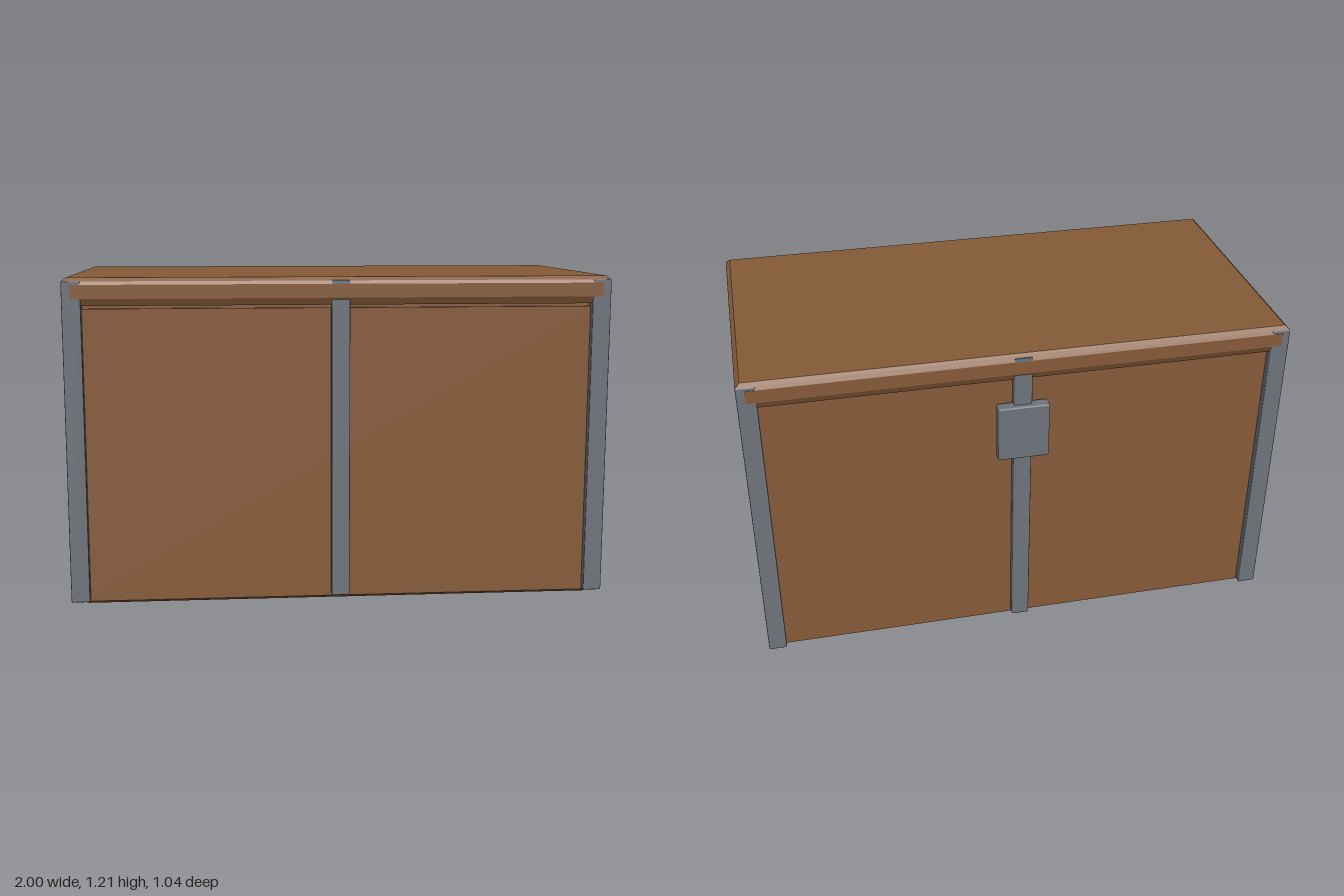
import * as THREE from 'three';
import { RoundedBoxGeometry } from 'three/addons/geometries/RoundedBoxGeometry.js';

const MID_Z = 0.01; // the chest body sits slightly forward of the latch

export function createModel() {
  const group = new THREE.Group();
  const wood = new THREE.MeshStandardMaterial({ color: 0x855a38 });
  wood.name = 'brown wood';
  const iron = new THREE.MeshStandardMaterial({ color: 0x6e737b });
  iron.name = 'grey iron';

  function add(name, geometry, material, x = 0, y = 0, z = 0) {
    const mesh = new THREE.Mesh(geometry, material);
    mesh.name = name;
    mesh.position.set(x, y, z);
    group.add(mesh);
    return mesh;
  }

  // Box between two heights whose top and bottom can be drawn in
  function slab(name, w, d, y0, y1, topInset, bottomInset, material) {
    const g = new THREE.BoxGeometry(w, y1 - y0, d);
    const p = g.attributes.position;
    for (let i = 0; i < p.count; i++) {
      const inset = p.getY(i) > 0 ? topInset : bottomInset;
      p.setX(i, p.getX(i) - Math.sign(p.getX(i)) * inset);
      p.setZ(i, p.getZ(i) - Math.sign(p.getZ(i)) * inset);
    }
    g.computeVertexNormals();
    return add(name, g, material, 0, (y0 + y1) / 2, MID_Z);
  }

  // Wooden body with a chamfered base and a recessed seam under the lid
  slab('base', 1.92, 0.96, 0, 0.012, 0, 0.018, wood);
  slab('body', 1.92, 0.96, 0.012, 1.1, 0, 0, wood);
  slab('lidSeam', 1.9, 0.93, 1.1, 1.115, 0, 0, wood);

  // Lid: overhanging lip profile (z, y) extruded along x
  const half = [[0.485, 1.112], [0.5, 1.112], [0.513, 1.138], [0.513, 1.188], [0.506, 1.2]];
  const outline = [...half, ...half.map(([z, y]) => [-z, y]).reverse()];
  const lip = new THREE.ExtrudeGeometry(
    new THREE.Shape(outline.map(([z, y]) => new THREE.Vector2(z, y))),
    { depth: 1.87, bevelEnabled: false });
  lip.translate(0, 0, -0.935).rotateY(Math.PI / 2);
  add('lidLip', lip, wood, 0, 0, MID_Z);
  slab('lidTongue', 1.94, 1.026, 1.138, 1.188, 0, 0, wood);
  slab('lidTop', 1.996, 1.018, 1.2, 1.213, 0.015, 0, wood);

  // Iron end plates
  for (const side of [-1, 1]) {
    add(side > 0 ? 'leftEndPlate' : 'rightEndPlate',
      new RoundedBoxGeometry(0.068, 1.183, 1.022, 1, 0.004), iron, side * 0.966, 0.6085, MID_Z);
  }

  // Iron centre straps on front and back
  for (const [name, dir] of [['front', 1], ['back', -1]]) {
    add(name + 'Strap', new RoundedBoxGeometry(0.068, 1.115, 0.04, 1, 0.006), iron,
      0, 0.5775, MID_Z + dir * 0.491);
    add(name + 'StrapTip', new THREE.BoxGeometry(0.062, 0.014, 0.03), iron,
      0, 1.194, MID_Z + dir * 0.498);
  }

  // Latch plate on the back strap
  add('latchPlate', new RoundedBoxGeometry(0.19, 0.22, 0.045, 2, 0.006), iron, 0, 0.9, -0.4985);

  return group;
}
